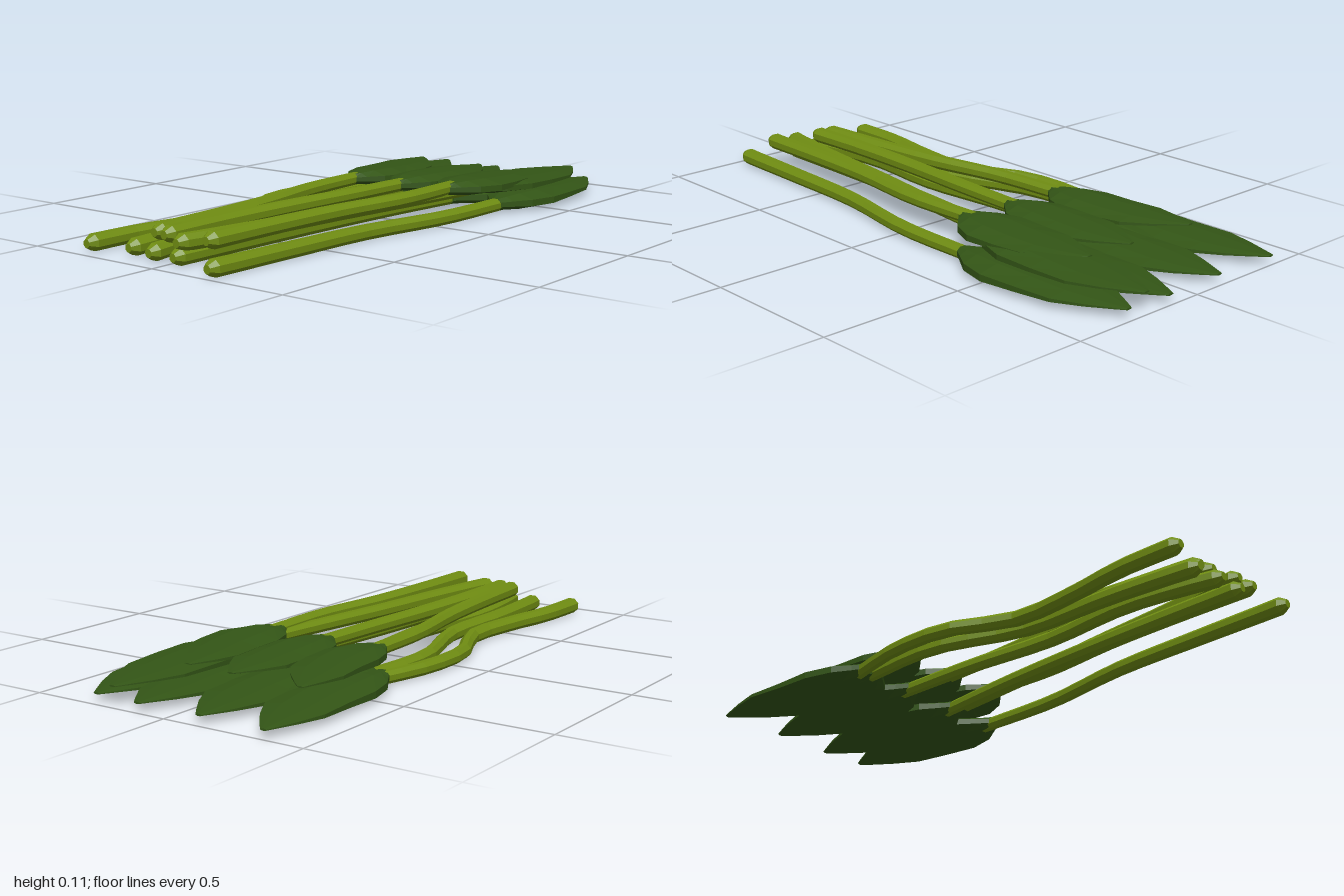
import * as THREE from 'three';

const SIDES = 8;
const STEM_RADIUS = 0.026;
const stemMaterial = new THREE.MeshStandardMaterial({ color: 0x6f8c12, flatShading: true });
const leafMaterial = new THREE.MeshStandardMaterial({ color: 0x335516, flatShading: true });

// Closed loft through oval sections { x, y, z, w, h }, running front to back
function loft(sections) {
  const pos = [], index = [];
  for (const { x, y, z, w, h } of sections) {
    for (let j = 0; j < SIDES; j++) {
      const a = ((j + 0.5) / SIDES) * Math.PI * 2;
      pos.push(x + (w * Math.cos(a)) / 0.924, y + (h * Math.sin(a)) / 0.924, z);
    }
  }
  const last = (sections.length - 1) * SIDES;
  for (let r = 0; r < last; r += SIDES) {
    for (let j = 0; j < SIDES; j++) {
      const k = (j + 1) % SIDES;
      const a = r + j, b = r + k, c = r + SIDES + k, d = r + SIDES + j;
      index.push(a, c, b, a, d, c);
    }
  }
  for (let j = 1; j < SIDES - 1; j++) {
    index.push(0, j, j + 1, last, last + j + 1, last + j);
  }
  const g = new THREE.BufferGeometry();
  g.setAttribute('position', new THREE.Float32BufferAttribute(pos, 3));
  g.setIndex(index);
  g.computeVertexNormals();
  return g;
}

// Stem: sideways bends xs spaced evenly from the cut end to the leaf, with a blunt tip
function stem({ xs, end, y }, leafBase) {
  const curve = new THREE.CatmullRomCurve3(xs.map((x, i) =>
    new THREE.Vector3(x, y, THREE.MathUtils.lerp(end, leafBase - 0.05, i / (xs.length - 1)))));
  const steps = 14;
  const sections = curve.getPoints(steps).map((p, i) => {
    const r = STEM_RADIUS * (1 - 0.2 * i / steps);
    return { x: p.x, y, z: p.z, w: r * 1.08, h: r };
  });
  const first = sections[0];
  sections.unshift({ ...first, w: first.w * 0.45, h: first.h * 0.5 });
  first.z -= 0.025;
  return new THREE.Mesh(loft(sections), stemMaterial);
}

// Relative leaf width along its length, base to tip
const leafProfile = [[0, 0.18], [0.06, 0.4], [0.15, 0.75], [0.3, 1], [0.5, 0.97],
  [0.7, 0.9], [0.84, 0.58], [0.95, 0.25], [1, 0.09]];

// Leaf: pointed oval whose centre line bows through base, middle and tip x
function leaf({ leafX, tip, width, leafY, tipY, thick }, base) {
  const [x0, xm, x1] = leafX;
  const sections = leafProfile.map(([t, w]) => ({
    x: THREE.MathUtils.lerp(x0, x1, t) + 4 * t * (1 - t) * (xm - (x0 + x1) / 2),
    y: THREE.MathUtils.lerp(leafY, tipY, t),
    z: THREE.MathUtils.lerp(base, tip, t),
    w: width * w,
    h: thick * Math.min(1, 0.7 + t * 2, 0.12 + (1 - t) * 1.3),
  }));
  return new THREE.Mesh(loft(sections), leafMaterial);
}

// Bottom layer, left to right in x
const lower = [
  { xs: [-0.315, -0.31, -0.275, -0.265, -0.355, -0.36, -0.31], end: 0.965, leafX: [-0.31, -0.3, -0.36], tip: -0.995, width: 0.12 },
  { xs: [-0.17, -0.19, -0.19, -0.285, -0.27], end: 0.93, leafX: [-0.27, -0.23, -0.23], tip: -0.76, width: 0.11 },
  { xs: [-0.07, -0.11, -0.08, -0.1, -0.1], end: 0.945, leafX: [-0.1, -0.085, -0.12], tip: -0.985, width: 0.125 },
  { xs: [0.03, 0.04, 0.055, 0.08, 0.12], end: 0.945, leafX: [0.12, 0.135, 0.11], tip: -0.99, width: 0.13 },
  { xs: [0.21, 0.225, 0.245, 0.305, 0.315], end: 0.99, leafX: [0.315, 0.295, 0.28], tip: -0.98, width: 0.125 },
].map(p => ({ ...p, y: 0.03, leafY: 0.032, tipY: 0.032, thick: 0.027 }));

// Top layer, whose last long leaf lies tucked between the others
const upper = [
  { xs: [-0.1, -0.12, -0.15, -0.2, -0.215], end: 0.89, y: 0.08, leafX: [-0.215, -0.21, -0.29], tip: -0.73, width: 0.11, leafY: 0.08 },
  { xs: [-0.05, -0.055, -0.045, -0.025, -0.01], end: 0.9, y: 0.08, leafX: [-0.01, -0.008, -0.022], tip: -0.72, width: 0.113, leafY: 0.08 },
  { xs: [0.14, 0.145, 0.16, 0.195, 0.19], end: 0.92, y: 0.09, leafX: [0.19, 0.2, 0.155], tip: -0.71, width: 0.12, leafY: 0.088 },
].map(p => ({ ...p, tipY: 0.083, thick: 0.025 }));
const tucked = { xs: [0.035, 0.08, 0.115, 0.16, 0.2], end: 0.935, y: 0.072,
  leafX: [0.205, 0.222, 0.21], tip: -0.985, width: 0.127, leafY: 0.076, tipY: 0.066, thick: 0.022 };

export function createModel() {
  const model = new THREE.Group();
  model.name = 'leafyGreensBunch';
  const addPlant = (name, plant, base) => {
    const group = new THREE.Group();
    group.name = name;
    const stalk = stem(plant, base);
    stalk.name = 'stem';
    const blade = leaf(plant, base);
    blade.name = 'leaf';
    group.add(stalk, blade);
    model.add(group);
  };
  lower.forEach((p, i) => addPlant(`lowerPlant${i + 1}`, p, -0.32));
  upper.forEach((p, i) => addPlant(`upperPlant${i + 1}`, p, -0.19));
  addPlant('tuckedPlant', tucked, -0.3);
  return model;
}
